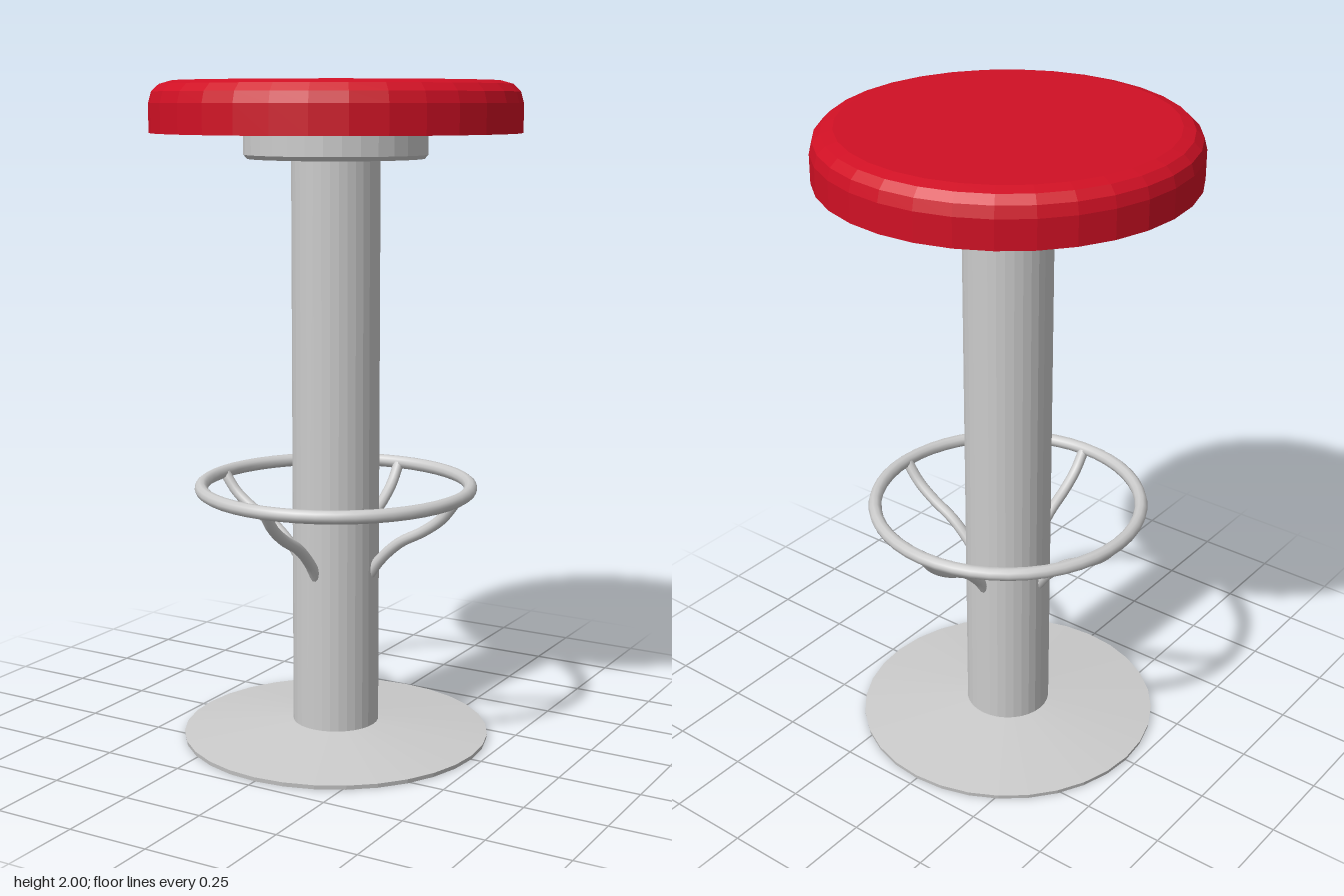
import * as THREE from 'three';

const SIDES = 32;
const metal = new THREE.MeshStandardMaterial({ color: 0xcccccc, flatShading: true });
const smoothMetal = new THREE.MeshStandardMaterial({ color: 0xcccccc });
const redVinyl = new THREE.MeshStandardMaterial({ color: 0xd01024, flatShading: true });

function addMesh(parent, name, geometry, material) {
  const mesh = new THREE.Mesh(geometry, material);
  mesh.name = name;
  parent.add(mesh);
  return mesh;
}

// Turned part from [radius, height] pairs, listed from bottom to top
function turned(points) {
  return new THREE.LatheGeometry(points.map(([r, y]) => new THREE.Vector2(r, y)), SIDES);
}

export function createModel() {
  const stool = new THREE.Group();
  stool.name = 'barStool';

  // Shallow conical foot plate
  addMesh(stool, 'base', turned([[0, 0.005], [0.468, 0.005], [0.47, 0.018], [0.135, 0.053], [0, 0.053]]), metal);

  // Central column
  const post = addMesh(stool, 'post', new THREE.CylinderGeometry(0.132, 0.132, 1.76, SIDES), metal);
  post.position.y = 0.92;

  // Collar under the seat
  addMesh(stool, 'seatCollar', turned([[0, 1.775], [0.262, 1.775], [0.272, 1.787], [0.272, 1.86], [0, 1.86]]), metal);

  // Padded seat with a rounded upper edge
  addMesh(stool, 'seat', turned([
    [0, 1.85], [0.547, 1.85], [0.547, 1.935], [0.538, 1.968], [0.515, 1.99], [0.48, 2], [0, 2],
  ]), redVinyl);

  // Foot ring
  const ring = addMesh(stool, 'footRing', new THREE.TorusGeometry(0.409, 0.02, 10, 48), smoothMetal);
  ring.rotation.x = Math.PI / 2;
  ring.position.y = 0.79;

  // Four curved brackets from column to ring
  const path = new THREE.CatmullRomCurve3([
    [0.115, 0.525], [0.155, 0.58], [0.22, 0.64], [0.3, 0.685], [0.36, 0.73], [0.405, 0.787],
  ].map(([x, y]) => new THREE.Vector3(x, y, 0)));
  const bracketGeometry = new THREE.TubeGeometry(path, 20, 0.017, 10);
  for (let i = 0; i < 4; i++) {
    addMesh(stool, 'ringBracket', bracketGeometry, smoothMetal).rotation.y = i * Math.PI / 2;
  }

  return stool;
}
